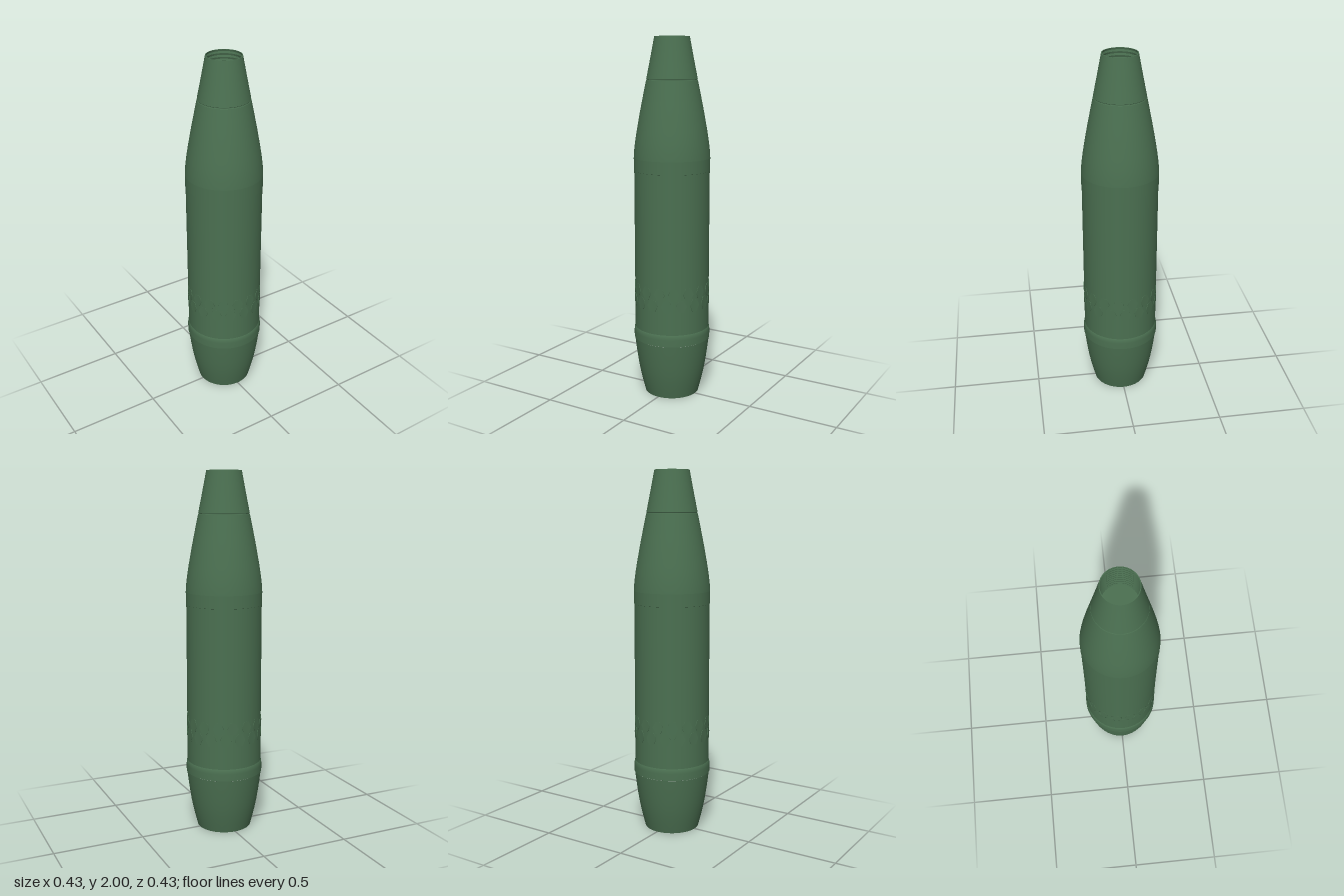
import * as THREE from 'three';

export function createModel() {
  const model = new THREE.Group();
  const green = new THREE.MeshStandardMaterial({ color: 0x4b7051 });
  green.name = 'olive green paint';

  // Revolved part; profile runs [radius, height], bottom to top on the outside
  const turn = (name, profile, parent = model) => {
    const points = profile.map(([r, y]) => new THREE.Vector2(r, y));
    const mesh = new THREE.Mesh(new THREE.LatheGeometry(points, 96), green);
    mesh.name = name;
    parent.add(mesh);
  };

  // Tapered tail with a flat base
  turn('baseDisc', [[0, 0], [0.152, 0]]);
  turn('boatTail', [[0.152, 0], [0.165, 0.05], [0.177, 0.1], [0.187, 0.15], [0.195, 0.2],
    [0.202, 0.25], [0.207, 0.29], [0.211, 0.325]]);

  // Raised band with a soft upper shoulder
  turn('bandLowerEdge', [[0.209, 0.325], [0.214, 0.327]]);
  turn('drivingBand', [[0.214, 0.327], [0.214, 0.365], [0.213, 0.376], [0.211, 0.386], [0.208, 0.392]]);

  // Straight body and the slightly wider collar under the nose
  turn('body', [[0.208, 0.392], [0.208, 1.28]]);
  turn('collarStep', [[0.208, 1.28], [0.21, 1.281]]);
  turn('collar', [[0.21, 1.281], [0.21, 1.35]]);

  // Curved nose and its separate tip section
  turn('nose', [[0.21, 1.35], [0.207, 1.395], [0.2, 1.45], [0.192, 1.5], [0.183, 1.55],
    [0.174, 1.6], [0.164, 1.65], [0.154, 1.7], [0.14, 1.768]]);
  turn('noseSeam', [[0.14, 1.768], [0.136, 1.771], [0.139, 1.775]]);
  turn('noseTip', [[0.139, 1.775], [0.117, 1.885], [0.095, 2]]);

  // Open mouth: rim, threaded wall and floor
  const mouth = new THREE.Group();
  mouth.name = 'threadedMouth';
  model.add(mouth);
  turn('rim', [[0.095, 2], [0.091, 2]], mouth);
  const pitch = 0.02, turns = 9;
  for (let i = 0; i < turns; i++) {
    const y = 2 - i * pitch;
    turn('threadUpperFlank', [[0.091, y], [0.094, y - pitch / 2]], mouth);
    turn('threadLowerFlank', [[0.094, y - pitch / 2], [0.091, y - pitch]], mouth);
  }
  turn('mouthFloor', [[0.091, 2 - turns * pitch], [0, 2 - turns * pitch]], mouth);

  // Two staggered rows of shallow six-sided studs around the lower body
  const studShape = new THREE.CylinderGeometry(0.031, 0.031, 0.006, 6);
  studShape.rotateY(Math.PI / 2);
  studShape.rotateX(Math.PI / 2);
  studShape.scale(1, 1.25, 1);
  const studs = new THREE.Group();
  studs.name = 'studRows';
  model.add(studs);
  const count = 16;
  for (let row = 0; row < 2; row++) {
    for (let i = 0; i < count; i++) {
      const angle = ((i + row / 2) / count) * Math.PI * 2;
      const stud = new THREE.Mesh(studShape, green);
      stud.name = 'stud';
      stud.position.set(Math.sin(angle) * 0.2062, 0.555 + row * 0.066, Math.cos(angle) * 0.2062);
      stud.rotation.y = angle;
      studs.add(stud);
    }
  }
  return model;
}
